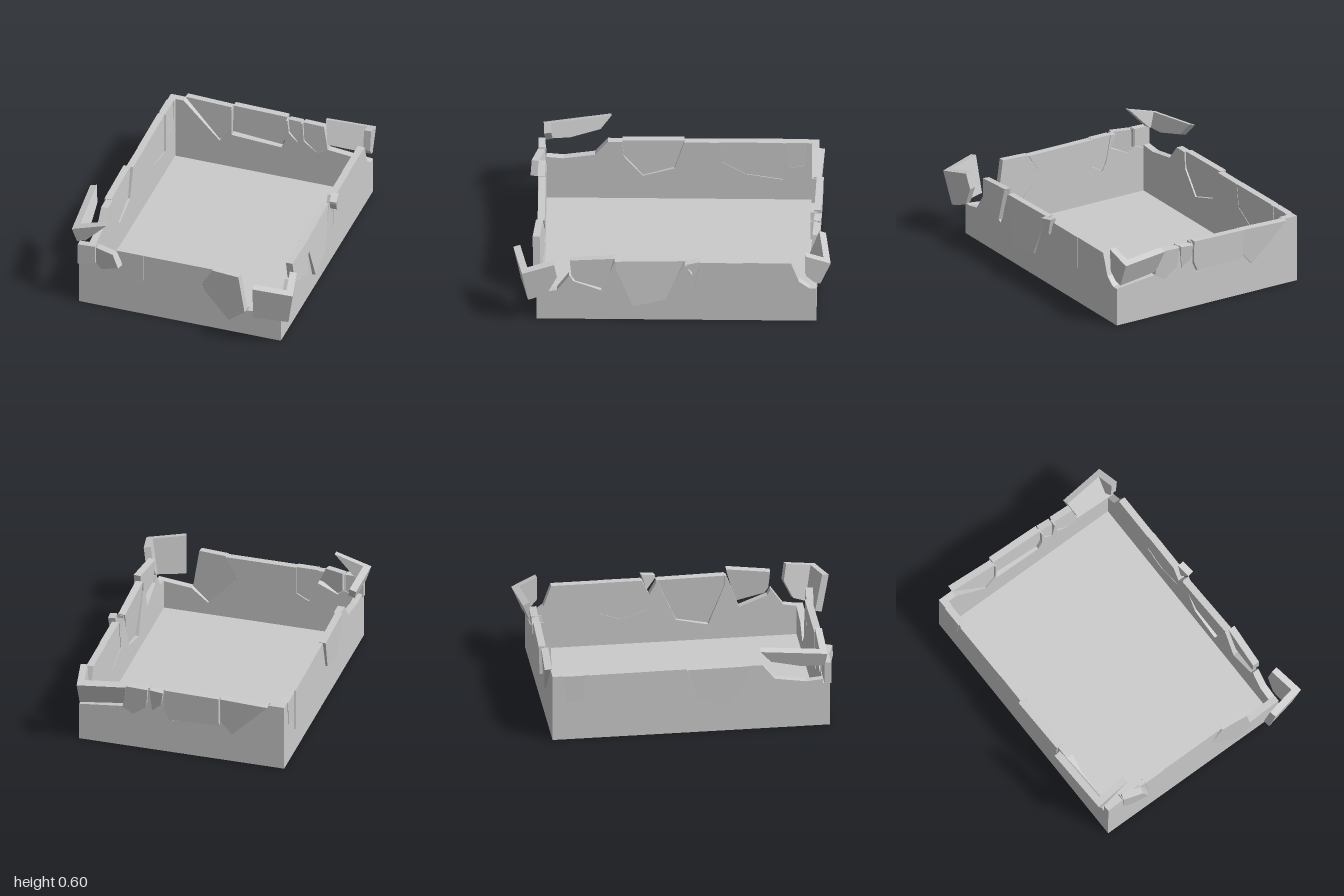
import * as THREE from 'three';

const H = 0.44, T = 0.045;
const X0 = -0.70, X1 = 0.645, Z0 = -0.91, Z1 = 0.85;
const mat = new THREE.MeshStandardMaterial({ color: 0xcccccc, flatShading: true });

// Upright slab from an outline of [along, y] points; side slabs run along z
function slab(points, side) {
  const shape = new THREE.Shape(points.map(([u, y]) => new THREE.Vector2(u, y)));
  const g = new THREE.ExtrudeGeometry(shape, { depth: T, bevelEnabled: false });
  if (side === 'left' || side === 'right') {
    g.rotateY(-Math.PI / 2);
    g.translate(side === 'right' ? X1 : X0 + T, 0, 0);
  } else {
    g.translate(0, 0, side === 'front' ? Z1 - T : Z0);
  }
  return g;
}

function addMesh(parent, geometry, name) {
  const mesh = new THREE.Mesh(geometry, mat);
  mesh.name = name;
  parent.add(mesh);
  return mesh;
}

// Each break: cut line from low to high coordinate, extra shard corners (cap),
// and how the loose shard has moved. Breaks without a move belong to corner pieces.
const walls = {
  front: [X0, X1, [
    { cut: [[-0.7, 0.29], [-0.585, 0.32], [-0.585, 0.44]], cap: [[-0.7, 0.435]], move: [-0.005, 0, 0.006], turn: [0, 0.03, 0] },
    { cut: [[-0.58, 0.44], [-0.58, 0.32], [-0.54, 0.29], [-0.41, 0.35], [-0.45, 0.44]], move: [0, -0.003, 0.03], turn: [0.05, -0.3, 0] },
    { cut: [[-0.41, 0.44], [-0.38, 0.28], [-0.35, 0.21], [-0.27, 0.255], [-0.27, 0.44]], move: [0, 0.003, 0.004], turn: [0, 0, 0] },
    { cut: [[0.2, 0.44], [0.115, 0.3], [0.31, 0.09], [0.42, 0.18]], cap: [[0.38, 0.44]], move: [-0.005, 0, 0.012], turn: [0.03, -0.1, 0] },
    { cut: [[0.425, 0.18], [X1, 0.205]] },
  ]],
  back: [X0, X1, [
    { cut: [[-0.6, 0.44], [-0.36, 0.19], [-0.29, 0.27], [-0.285, 0.44]], move: [0, 0.005, -0.02], turn: [-0.06, -0.06, 0] },
    { cut: [[-0.28, 0.44], [-0.28, 0.25], [0.05, 0.23], [0.08, 0.3], [0.08, 0.44]], move: [0, 0.012, -0.025], turn: [-0.03, -0.03, 0] },
    { cut: [[0.09, 0.44], [0.1, 0.35], [0.16, 0.29], [0.18, 0.44]], move: [0, -0.005, -0.015], turn: [-0.1, -0.1, 0.04] },
    { cut: [[0.19, 0.44], [0.2, 0.31], [0.29, 0.24], [0.36, 0.28]], cap: [[0.33, 0.44]], move: [0, -0.003, -0.01], turn: [-0.08, -0.05, 0] },
    { cut: [[0.365, 0.28], [X1, 0.25]] },
  ]],
  right: [Z0 + T, Z1 - T, [
    { cut: [[-0.865, 0.25], [-0.8, 0.3], [-0.75, 0.44]] },
    { cut: [[-0.45, 0.44], [-0.45, 0.23], [-0.31, 0.18], [-0.14, 0.24], [-0.18, 0.44]], move: [0.003, 0, 0], turn: [0, 0, 0] },
    { cut: [[-0.175, 0.44], [-0.13, 0.34], [-0.085, 0.42], [-0.085, 0.44]], move: [0.03, 0.02, -0.01], turn: [0.15, 0.15, -0.1] },
    { cut: [[-0.08, 0.44], [0.04, 0.155], [0.245, 0.11], [0.35, 0.38], [0.35, 0.44]], move: [0.008, 0.004, 0], turn: [0, 0.03, 0.06] },
    { cut: [[0.36, 0.44], [0.44, 0.22], [0.62, 0.29], [0.64, 0.33]], cap: [[0.64, 0.44]], move: [0.02, 0.025, -0.01], turn: [0.1, -0.06, 0.06] },
    { cut: [[0.645, 0.33], [0.72, 0.22], [0.805, 0.205]] },
  ]],
  left: [Z0 + T, Z1 - T, [
    { cut: [[-0.84, 0.44], [-0.82, 0.27], [-0.72, 0.25], [-0.7, 0.44]], move: [-0.003, 0, 0], turn: [0, 0, 0.02] },
    { cut: [[-0.68, 0.44], [-0.68, 0.16], [-0.45, 0.2], [-0.3, 0.29], [-0.28, 0.44]], move: [-0.004, 0, 0], turn: [0, 0.01, 0] },
    { cut: [[-0.06, 0.44], [0, 0.24], [0.2, 0.18], [0.32, 0.33], [0.33, 0.44]], move: [-0.012, 0.003, 0], turn: [0, 0.02, 0.02] },
    { cut: [[0.42, 0.44], [0.5, 0.34], [0.7, 0.31], [0.805, 0.32]] },
  ]],
};

// Loose corner pieces: two slabs meeting at a corner, turned about its top
const corners = [
  {
    name: 'frontRightCornerShard', pivot: [X1, H, Z1], to: [0.755, 0.42, 0.94], turn: [0.2, 0.2, -0.18],
    arms: {
      front: [[0.39, 0.44], [0.42, 0.19], [X1, 0.205], [X1, 0.44]],
      right: [[0.64, 0.44], [0.64, 0.33], [0.72, 0.22], [0.805, 0.205], [0.805, 0.44]],
    },
  },
  {
    name: 'backRightCornerShard', pivot: [X1, H, Z0], to: [0.635, 0.435, -1.0], turn: [-0.4, 0.12, 0],
    arms: {
      back: [[0.33, 0.44], [0.36, 0.28], [X1, 0.27], [X1, 0.44]],
      right: [[-0.865, 0.44], [-0.865, 0.27], [-0.8, 0.3], [-0.74, 0.44]],
    },
  },
  {
    name: 'frontLeftCornerShard', pivot: [X0, H, Z1], to: [-0.755, 0.52, 0.825], turn: [0.12, 0.06, 0.3],
    arms: {
      front: [[X0, 0.44], [X0, 0.34], [-0.64, 0.34], [-0.46, 0.44]],
      left: [[0.42, 0.44], [0.5, 0.36], [0.7, 0.33], [0.805, 0.34], [0.805, 0.44]],
    },
  },
];

export function createModel() {
  const model = new THREE.Group();
  model.name = 'brokenTray';

  // Thin floor
  const floor = new THREE.BoxGeometry(X1 - X0 - 0.01, 0.008, Z1 - Z0 - 0.01);
  floor.translate((X0 + X1) / 2, 0.004, (Z0 + Z1) / 2);
  addMesh(model, floor, 'floor');

  // Walls with broken rims, and the shards that came out of them
  for (const [side, [u0, u1, breaks]] of Object.entries(walls)) {
    const rim = breaks.flatMap((b) => b.cut);
    if (rim[0][0] > u0) rim.unshift([u0, H]);
    if (rim[rim.length - 1][0] < u1) rim.push([u1, H]);
    addMesh(model, slab([[u0, 0], ...rim, [u1, 0]], side), side + 'Wall');

    for (const { cut, cap = [], move, turn } of breaks) {
      if (!move) continue;
      const g = slab([...cut, ...cap], side);
      g.computeBoundingBox();
      const c = g.boundingBox.getCenter(new THREE.Vector3());
      g.translate(-c.x, -c.y, -c.z);
      const shard = addMesh(model, g, side + 'WallShard');
      shard.position.copy(c).add(new THREE.Vector3(...move));
      shard.rotation.set(...turn);
    }
  }

  // Corner pieces
  for (const { name, pivot, to, turn, arms } of corners) {
    const corner = new THREE.Group();
    corner.name = name;
    for (const [side, points] of Object.entries(arms)) {
      const g = slab(points, side);
      g.translate(-pivot[0], -pivot[1], -pivot[2]);
      addMesh(corner, g, side + 'Arm');
    }
    corner.position.set(...to);
    corner.rotation.set(...turn);
    model.add(corner);
  }
  return model;
}
